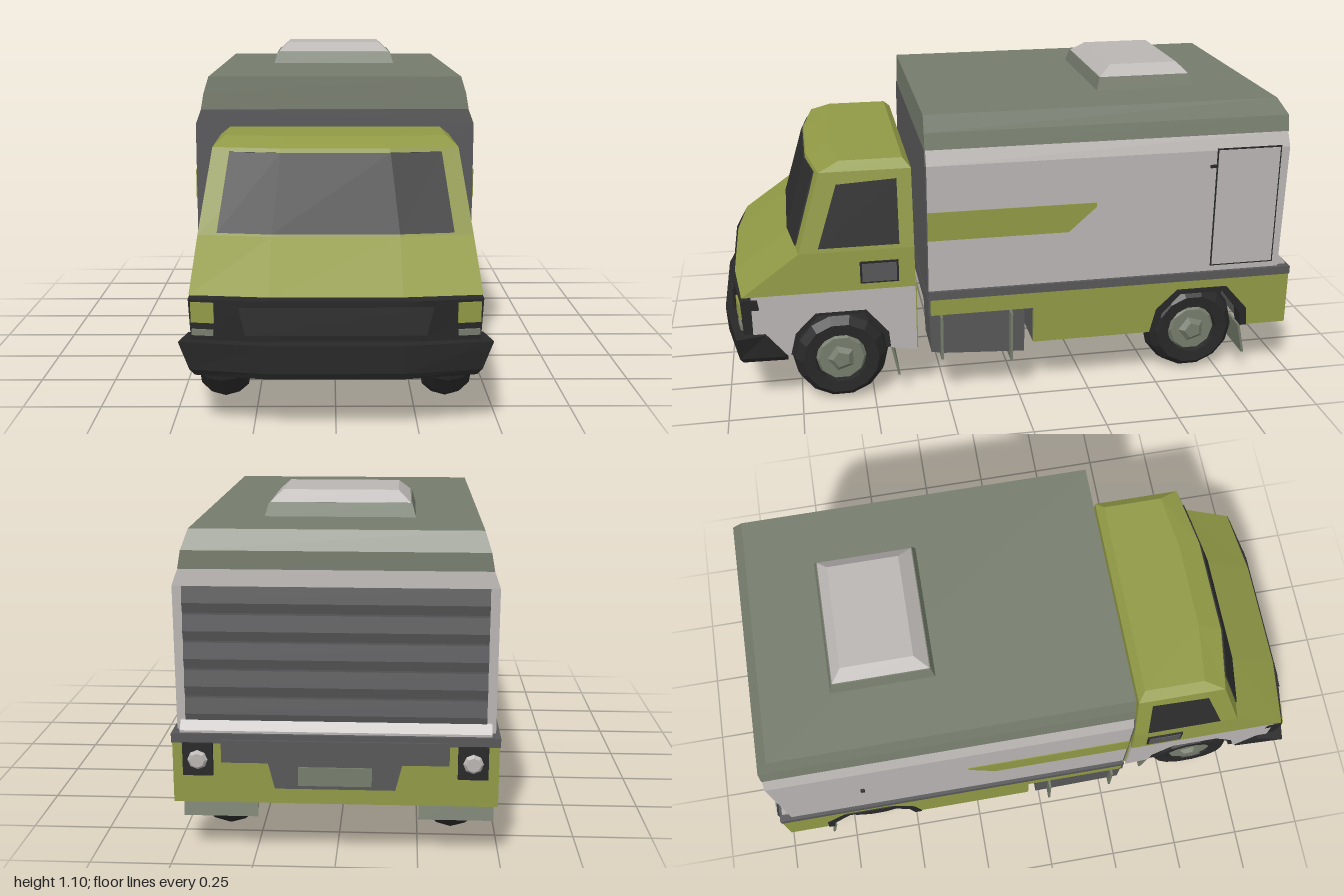
import * as THREE from 'three';

const paint = (name, color) => Object.assign(new THREE.MeshStandardMaterial({ color }), { name });
const M = {
  olive: paint('olive paint', 0x909945),
  pale: paint('pale grey paint', 0xb9b5b3),
  sage: paint('sage grey', 0x757c6c),
  charcoal: paint('charcoal', 0x575759),
  glass: paint('dark glass', 0x2d2d2e),
  black: paint('black plastic', 0x282828),
};
const root = new THREE.Group();

// Adds a faceted mesh
function add(name, geo, mat, x = 0, y = 0, z = 0) {
  const g = geo.index ? geo.toNonIndexed() : geo;
  g.computeVertexNormals();
  const m = new THREE.Mesh(g, mat);
  m.name = name;
  m.position.set(x, y, z);
  root.add(m);
  return m;
}
const box = (name, mat, x0, x1, y0, y1, z0, z1) =>
  add(name, new THREE.BoxGeometry(x1 - x0, y1 - y0, z1 - z0), mat, (x0 + x1) / 2, (y0 + y1) / 2, (z0 + z1) / 2);
const both = fn => [1, -1].forEach(fn);
const shapeOf = pts => new THREE.Shape(pts.map(p => new THREE.Vector2(p[0], p[1])));

// Outline in (z, y), extruded from x0 to x1
function across(name, mat, pts, x0, x1) {
  const g = new THREE.ExtrudeGeometry(shapeOf(pts), { depth: x1 - x0, bevelEnabled: false });
  g.rotateY(-Math.PI / 2);
  return add(name, g, mat, x1);
}
// The same on one side of the vehicle: s = 1 left, -1 right
const side = (s, name, mat, pts, x0, x1) =>
  s > 0 ? across(name, mat, pts, x0, x1) : across(name, mat, pts, -x1, -x0);
// Outline in (x, y), extruded along z
const facing = (name, mat, pts, z, depth) =>
  add(name, new THREE.ExtrudeGeometry(shapeOf(pts), { depth, bevelEnabled: false }), mat, 0, 0, z);
const rect = (a0, a1, b0, b1) => [[a0, b0], [a1, b0], [a1, b1], [a0, b1]];

function fromTriangles(name, mat, v) {
  const g = new THREE.BufferGeometry();
  g.setAttribute('position', new THREE.Float32BufferAttribute(v, 3));
  return add(name, g, mat);
}
// Skins rings of [x, y, z], listed bottom to top, anticlockwise from above
function loft(name, mat, rings) {
  const v = [], n = rings[0].length, last = rings.length - 1;
  const tri = (a, b, c) => v.push(...a, ...b, ...c);
  for (let r = 0; r < last; r++) for (let i = 0; i < n; i++) {
    const a = rings[r][i], b = rings[r][(i + 1) % n];
    const c = rings[r + 1][(i + 1) % n], d = rings[r + 1][i];
    tri(a, b, c); tri(a, c, d);
  }
  for (let i = 1; i < n - 1; i++) {
    tri(rings[last][0], rings[last][i], rings[last][i + 1]);
    tri(rings[0][0], rings[0][i + 1], rings[0][i]);
  }
  return fromTriangles(name, mat, v);
}
const ring4 = (y, w, zb, zf) => [[-w, y, zb], [-w, y, zf], [w, y, zf], [w, y, zb]];
// Ring with a front that bows out in the middle
const bowed = (y, w, zb, zf, zc, wc, wb = w) =>
  [[-wb, y, zb], [-w, y, zf], [-wc, y, zc], [wc, y, zc], [w, y, zf], [wb, y, zb]];

// Wheel arch outline from rear to front
const arch = (zc, grow = 0) => [[-.17, .2], [-.165, .26], [-.09, .35], [.08, .35], [.15, .28], [.17, .2]]
  .map(([z, y]) => [zc + z * (1 + grow), y + (y > .2 ? grow * .12 : 0)]);

function buildCab() {
  const rings = [
    bowed(.425, .44, .35, .93, .958, .2),
    bowed(.565, .432, .35, .735, .768, .2),
    bowed(.83, .388, .35, .655, .69, .17),
    bowed(.858, .355, .375, .585, .61, .15),
  ];
  loft('cabShell', M.olive, rings);

  // Windscreen, laid just off the shell
  const at = (i, t) => new THREE.Vector3(...rings[1][i]).lerp(new THREE.Vector3(...rings[2][i]), t);
  const plate = t => {
    const [a, b, c, d] = [1, 2, 3, 4].map(i => at(i, t));
    const f = [a.lerp(b, .26), b, c, d.lerp(c, .26)].map(p => [p.x, p.y + .003, p.z + .004]);
    return [...f, ...f.map(([x, y, z]) => [x, y, z - .008]).reverse()];
  };
  loft('windscreen', M.glass, [plate(.02), plate(.94)]);

  // Side windows follow the lean of the cab sides
  const corners = [[.67, .58], [.40, .58], [.40, .80], [.60, .79]];
  both(s => {
    const p = corners.map(([z, y]) => [s * (.436 - (y - .565) * .166), y, z]);
    const order = s > 0 ? [0, 1, 2, 0, 2, 3] : [0, 2, 1, 0, 3, 2];
    fromTriangles('sideWindow', M.glass, order.flatMap(i => p[i]));
    side(s, 'doorHandleRim', M.black, rect(.405, .535, .448, .525), .434, .441);
    side(s, 'doorHandle', M.charcoal, rect(.412, .528, .454, .519), .436, .444);
  });

  // Lower cab with wheel arches
  const lower = [[.35, .425], [.35, .185], ...arch(.61), [.9, .2], [.9, .425]];
  across('cabFloor', M.charcoal, lower, -.428, .428);
  box('cabCore', M.black, -.27, .27, .195, .4, .36, .9);
  box('cabFloorPlate', M.charcoal, -.27, .27, .188, .195, .36, .9);
  box('cabBackPanel', M.olive, -.428, .428, .186, .43, .345, .352);
  both(s => {
    side(s, 'lowerCabPanel', M.pale, lower, .428, .44);
    side(s, 'frontArchLip', M.black, [...arch(.61, -.1), ...arch(.61).reverse()], .4, .436);
  });

  // Nose: grille, lamps, bumper
  loft('grille', M.black, [bowed(.28, .435, .86, .93, .955, .25), bowed(.415, .442, .88, .935, .965, .25)]);
  facing('grilleInset', M.glass, [[-.27, .31], [.27, .31], [.29, .395], [-.29, .395]], .962, .006);
  both(s => {
    const x = s * .398;
    add('headlamp', new THREE.BoxGeometry(.07, .062, .02), M.olive, x, .375, .937).rotation.y = s * .15;
    add('turnSignal', new THREE.BoxGeometry(.065, .018, .02), M.sage, x, .313, .935).rotation.y = s * .15;
  });
  loft('frontBumper', M.black, [
    bowed(.18, .425, .79, .94, .985, .2, .43),
    bowed(.2, .44, .79, .95, .995, .2, .445),
    bowed(.288, .472, .86, .955, 1, .2, .452),
  ]);
}

function buildCargoBox() {
  loft('cargoWalls', M.pale, [
    ring4(.41, .478, -.935, .31), ring4(.86, .478, -.942, .31), ring4(.91, .46, -.938, .31),
  ]);
  loft('cargoRoof', M.sage, [
    ring4(.91, .46, -.94, .312), ring4(.965, .45, -.94, .312), ring4(1.022, .432, -.9, .312),
  ]);
  facing('cargoFront', M.charcoal,
    [[-.478, .41], [.478, .41], [.478, .86], [.459, .91], [-.459, .91], [-.478, .86]], .309, .005);

  // Roof vent
  loft('ventBase', M.sage, [ring4(1.02, .235, -.67, -.32), ring4(1.065, .222, -.658, -.332)]);
  loft('ventCap', M.pale, [ring4(1.065, .218, -.655, -.335), ring4(1.1, .18, -.62, -.38)]);

  // Roller shutter of sloping slats over a pale lip
  const slats = [[-.925, .865], [-.925, .44]], n = 5, h = .425 / n;
  for (let i = 0; i < n; i++) {
    const y = .44 + i * h;
    slats.push([-.943, y], [-.95, y + .03], [-.943, y + h - .006]);
  }
  across('rollerShutter', M.charcoal, slats, -.45, .45);
  across('shutterLip', M.pale, [[-.93, .415], [-.968, .415], [-.968, .424], [-.945, .45], [-.93, .45]], -.465, .465);

  // Side stripes, service door and latches
  both(s => side(s, 'sideStripe', M.olive,
    [[.31, .6], [-.17, .6], [-.265, .685], [-.265, .7], [.31, .7]], .476, .481));
  side(1, 'serviceDoorSeam', M.black, rect(-.912, -.682, .437, .866), .476, .48);
  side(1, 'serviceDoor', M.pale, rect(-.907, -.687, .442, .861), .477, .482);
  side(1, 'doorLatch', M.black, rect(-.685, -.66, .8, .81), .477, .485);
  side(-1, 'doorLatch', M.black, rect(-.648, -.635, .642, .66), .477, .487);
}

function buildLowerBody() {
  const skirt = [[.31, .39], [.31, .33], [-.05, .33], [-.05, .2], ...arch(-.65).reverse(), [-.97, .2], [-.97, .39]];
  across('underbody', M.charcoal, skirt, -.475, .475);
  box('chassisCore', M.black, -.27, .27, .206, .38, -.95, -.052);
  box('chassisFloor', M.charcoal, -.27, .27, .2, .206, -.95, -.052);
  box('frontEdge', M.charcoal, -.488, .488, .33, .39, .306, .313);
  box('sill', M.charcoal, -.49, .49, .388, .417, -.978, .312);
  both(s => {
    side(s, 'skirt', M.olive, skirt, .475, .487);
    side(s, 'archFlare', M.black, [...arch(-.65, -.08), ...arch(-.65, .06).reverse()], .44, .491);
    // Locker with hanging plates
    side(s, 'locker', M.charcoal, [[.31, .33], [.305, .19], [.26, .182], [-.02, .165], [-.02, .33]], .31, .48);
    [[.03, .515, .15], [.27, .5, .17]].forEach(([z, x, y]) =>
      box('lockerPlate', M.sage, s * .46 - (x - .41) / 2, s * .46 + (x - .41) / 2, y, .33, z - .004, z + .004));
    // Mud flaps
    [[.425, .19, .342], [-.815, .235, .37]].forEach(([z, w, x]) => {
      add('mudFlap', new THREE.BoxGeometry(w, .115, .008), M.sage, s * x, .145, z).rotation.x = .2;
    });
  });

  // Tail panel, lamps and number plate holder
  box('tailPanel', M.olive, -.487, .487, .2, .39, -.976, -.965);
  facing('tailTrim', M.charcoal, [[-.34, .4], [-.34, .33], [-.2, .33], [-.18, .25],
    [.18, .25], [.2, .33], [.34, .33], [.34, .4]], -.985, .012);
  box('plateHolder', M.sage, -.11, .11, .262, .32, -.99, -.984);
  both(s => {
    box('tailLampFrame', M.black, s * .41 - .045, s * .41 + .045, .29, .39, -.99, -.97);
    const lamp = add('tailLamp', new THREE.CylinderGeometry(.022, .034, .014, 8), M.pale, s * .41, .34, -.993);
    lamp.rotation.x = -Math.PI / 2;
  });
}

function buildWheels() {
  const profile = [[.07, -.075], [.13, -.075], [.155, -.045], [.167, 0], [.155, .045], [.13, .073], [.09, .07], [.085, .045], [.001, .045]]
    .map(p => new THREE.Vector2(...p));
  both(s => [.61, -.65].forEach(z => {
    const wheel = new THREE.Group();
    wheel.name = 'wheel';
    wheel.add(
      add('tyre', new THREE.LatheGeometry(profile, 14), M.black),
      add('rim', new THREE.CylinderGeometry(.078, .09, .02, 10), M.sage, 0, .055, 0),
      add('hub', new THREE.CylinderGeometry(.03, .055, .02, 5), M.sage, 0, .07, 0),
      add('innerHub', new THREE.CylinderGeometry(.07, .07, .02, 10), M.black, 0, -.068, 0),
    );
    wheel.rotation.z = -s * Math.PI / 2;
    wheel.position.set(s * .36, .167, z);
    root.add(wheel);
  }));
}

export function createModel() {
  root.clear();
  root.name = 'boxTruck';
  buildCab();
  buildCargoBox();
  buildLowerBody();
  buildWheels();
  return root;
}
